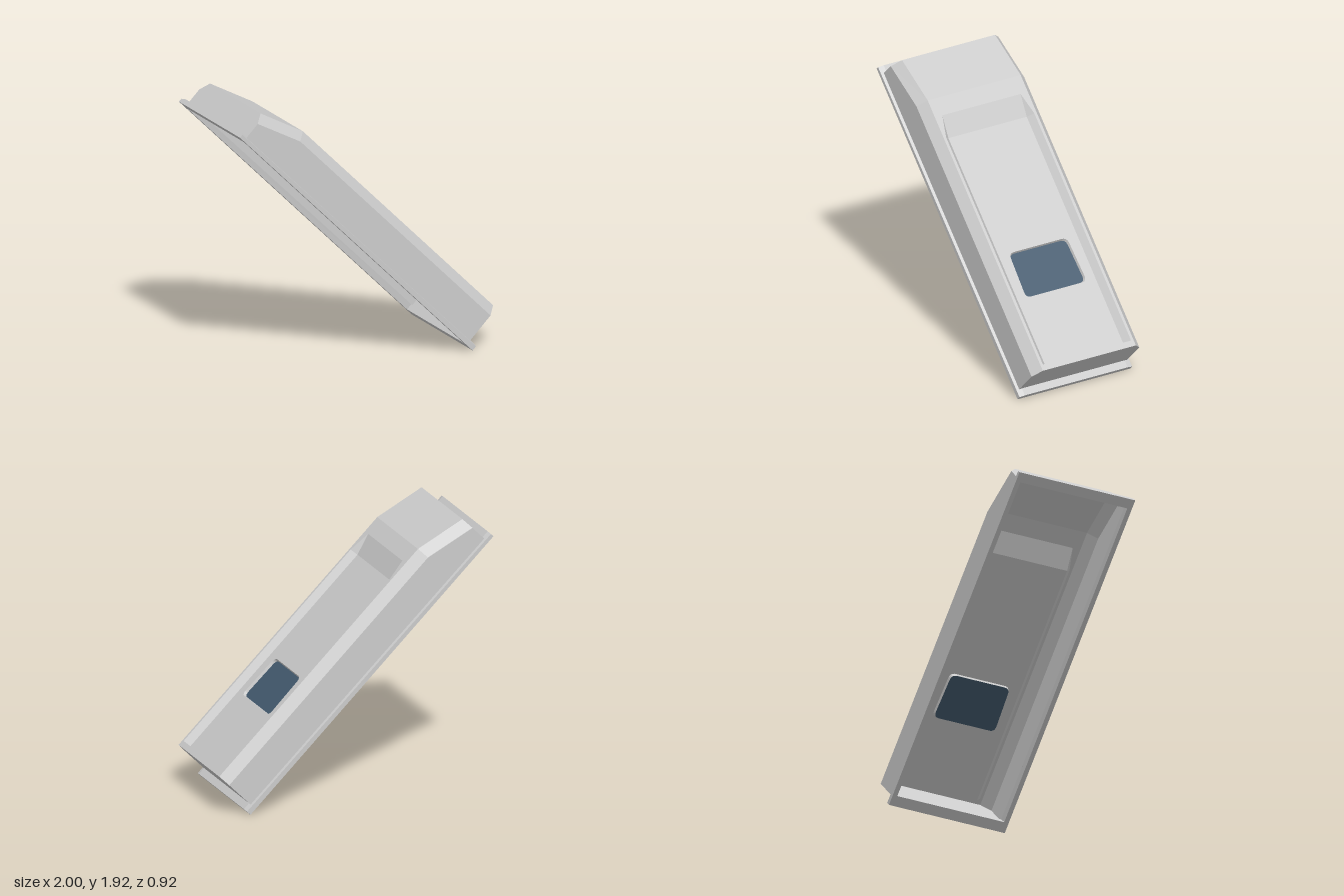
import * as THREE from 'three';

// Local frame: x runs down the slope, y is the panel normal, z is the width.
const GREY = new THREE.MeshStandardMaterial({ color: 0xcccccc, flatShading: true, side: THREE.DoubleSide });
const GLASS = new THREE.MeshStandardMaterial({ color: 0x435a6e, side: THREE.DoubleSide });

const TOP = 0.902, FLOOR = 0.857, PANE = 0.838, BASE = 0.598;

// Flat polygons, each a list of [x, y, z] corners, fanned into triangles
function facesGeometry(faces) {
  const pos = [];
  for (const f of faces)
    for (let i = 1; i < f.length - 1; i++) pos.push(...f[0], ...f[i], ...f[i + 1]);
  const g = new THREE.BufferGeometry();
  g.setAttribute('position', new THREE.Float32BufferAttribute(pos, 3));
  g.computeVertexNormals();
  return g;
}

// Quads joining two closed loops
const bridge = (a, b) => a.map((p, i) => {
  const j = (i + 1) % a.length;
  return [p, a[j], b[j], b[i]];
});

const flip = ([x, y, z]) => [x, y, -z];
const mirror = (face) => face.map(flip).reverse();
const polygon = (pts) => pts.map(([x, z]) => new THREE.Vector2(x, z));
const rect = (x0, x1, z) => polygon([[x0, -z], [x1, -z], [x1, z], [x0, z]]);
const ring = (x0, x1, z, y0, y1 = y0) => [[x0, y0, z], [x1, y1, z], [x1, y1, -z], [x0, y0, -z]];

// Flat sheet at height y, with an optional hole
function sheet(outline, hole, y) {
  const s = new THREE.Shape(outline);
  if (hole) s.holes.push(new THREE.Path(hole));
  return new THREE.ShapeGeometry(s).rotateX(-Math.PI / 2).translate(0, y, 0);
}

// Polygon with rounded corners
function rounded(pts, r) {
  const out = [];
  pts.forEach((p, i) => {
    const a = pts[(i + pts.length - 1) % pts.length], b = pts[(i + 1) % pts.length];
    const start = p.clone().add(a.clone().sub(p).setLength(r));
    const end = p.clone().add(b.clone().sub(p).setLength(r));
    out.push(...new THREE.QuadraticBezierCurve(start, p, end).getPoints(6));
  });
  return out;
}

// Window outline, wider towards the lower edge
const windowOutline = (inset) => rounded(polygon([
  [-0.375 + inset, -0.236 + inset], [-0.036 - inset, -0.248 + inset],
  [-0.036 - inset, 0.248 - inset], [-0.375 + inset, 0.236 - inset],
]), 0.042);

export function createModel() {
  const model = new THREE.Group();
  const panel = new THREE.Group();
  panel.name = 'slantedPanel';
  panel.rotation.z = -Math.PI / 4;
  model.add(panel);
  const add = (name, geometry, material = GREY) => {
    const m = new THREE.Mesh(geometry, material);
    m.name = name;
    panel.add(m);
  };

  // Base flange: an open frame under the hollow housing, long edges bevelled on top
  const inner = ring(-1.91, 0.49, 0.425, 0.566);
  const flange = [
    inner,
    ring(-1.98, 0.566, 0.46, 0.566),
    ring(-1.98, 0.566, 0.46, 0.592, 0.602),
    ring(-1.98, 0.566, 0.42, 0.604, 0.612),
    ring(-1.91, 0.49, 0.42, 0.604, 0.612),
    inner,
  ];
  const flangeFaces = [];
  for (let i = 0; i < flange.length - 1; i++) flangeFaces.push(...bridge(flange[i], flange[i + 1]));
  add('baseFlange', facesGeometry(flangeFaces));

  // Housing: chamfered sections, lower at the upper end
  const section = (x, shoulder, top) => {
    const half = [[x, BASE, 0.44], [x, shoulder, 0.44], [x, top, 0.38]];
    return [...half, ...mirror(half)];
  };
  const rings = [section(-1.927, 0.722, 0.795), section(-1.57, 0.831, TOP), section(0.512, 0.831, TOP)];
  const shell = [rings[0], [...rings[2]].reverse()];
  for (let i = 0; i < 2; i++)
    for (let j = 0; j < 5; j++)
      if (i === 0 || j !== 2)
        shell.push([rings[i][j], rings[i + 1][j], rings[i + 1][j + 1], rings[i][j + 1]]);
  add('housing', facesGeometry(shell));

  // Top face with the recess cut out
  const recess = polygon([[-1.44, -0.32], [-1.28, -0.36], [0.469, -0.36],
    [0.469, 0.36], [-1.28, 0.36], [-1.44, 0.32]]);
  add('topFace', sheet(rect(-1.57, 0.512, 0.38), recess, TOP));

  // Sloping recess walls
  const A = [-1.44, TOP, 0.32], B = [-1.28, TOP, 0.36], C = [0.469, TOP, 0.36];
  const Bf = [-1.284, FLOOR, 0.32], Cf = [0.469, FLOOR, 0.32];
  const side = [B, C, Cf, Bf], corner = [A, B, Bf];
  add('recessWalls', facesGeometry([
    side, mirror(side), corner, mirror(corner),
    [A, Bf, flip(Bf), flip(A)],
    [C, flip(C), flip(Cf), Cf],
  ]));

  // Recess floor with the window opening, its tapered reveal and the sunken pane
  const opening = windowOutline(0), pane = windowOutline(0.006);
  const loop = (pts, y) => pts.map((p) => [p.x, y, -p.y]);
  add('recessFloor', sheet(rect(-1.284, 0.469, 0.32), opening, FLOOR));
  add('windowReveal', facesGeometry(bridge(loop(opening, FLOOR), loop(pane, PANE))));
  add('windowPane', sheet(pane, null, PANE), GLASS);

  return model;
}
